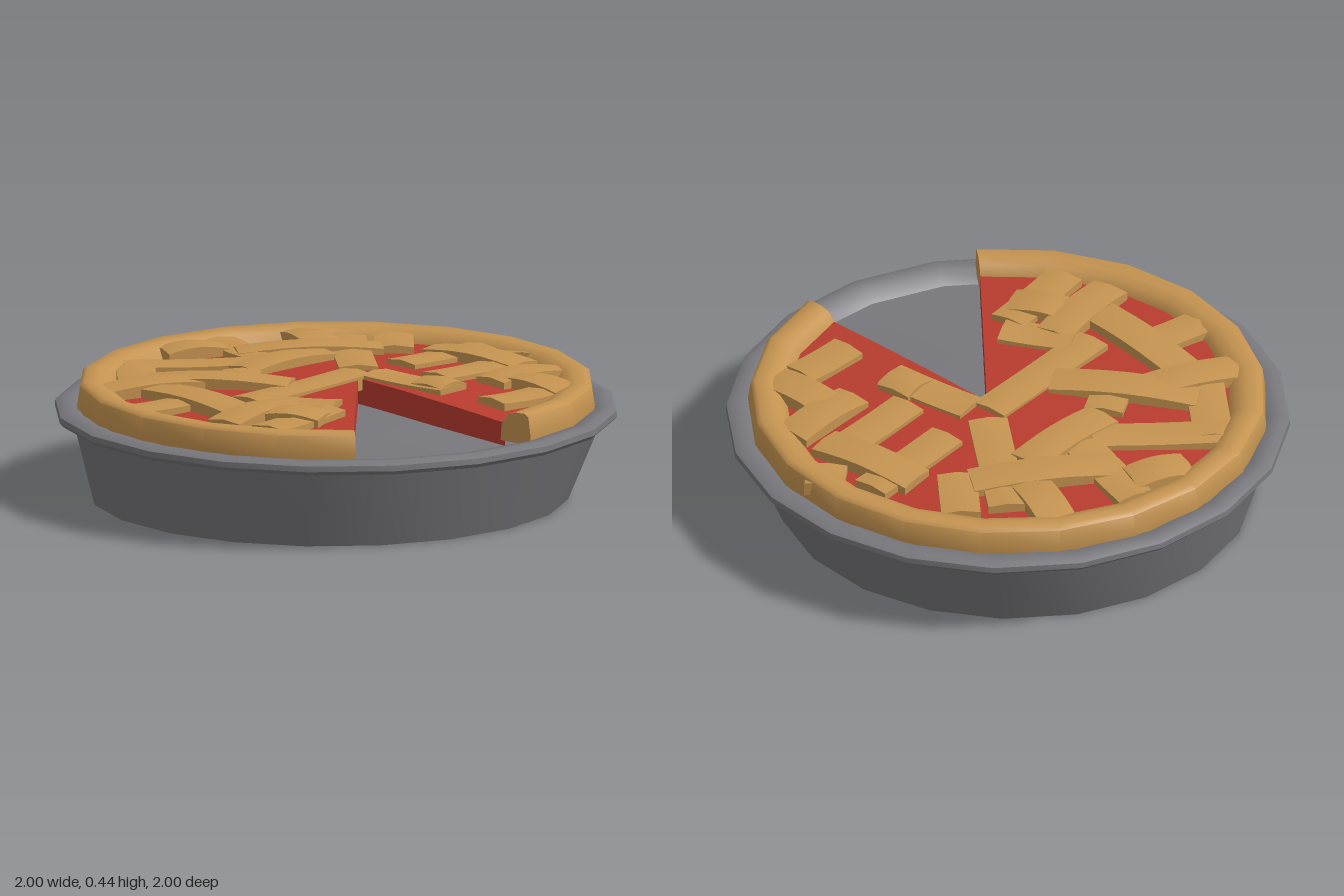
import * as THREE from 'three';
import { toCreasedNormals } from 'three/addons/utils/BufferGeometryUtils.js';

const D = Math.PI / 180;
const APEX = [0.05, -0.08];            // tip of the missing slice
const START = 72 * D, SWEEP = 316 * D; // pie covers this arc, from +z towards +x
const vec = pts => pts.map(p => new THREE.Vector2(...p));

export function createModel() {
  const group = new THREE.Group();
  const mat = (name, color, side = THREE.FrontSide) => {
    const m = new THREE.MeshStandardMaterial({ color, side });
    m.name = name;
    return m;
  };
  const tin = mat('tin grey', 0x77777c);
  const pastry = mat('baked pastry', 0xc49350, THREE.DoubleSide);
  const cherry = mat('cherry red', 0xb83c2e, THREE.DoubleSide);
  const add = (name, geo, m, parent = group) => {
    const mesh = new THREE.Mesh(geo, m);
    mesh.name = name;
    parent.add(mesh);
    return mesh;
  };

  // Pie dish: sloping wall, thick rolled rim and a high shallow inside
  const dish = new THREE.LatheGeometry(vec([
    [0, 0], [0.5, 0], [0.85, 0], [0.945, 0.285], [0.985, 0.285], [1, 0.3],
    [0.998, 0.32], [0.97, 0.333], [0.92, 0.328], [0.88, 0.29], [0.45, 0.3], [0, 0.315],
  ]), 20);
  const dp = dish.attributes.position;
  for (let i = 0; i < dp.count; i++) {
    if (dp.getY(i) < 0.01) {           // the base sits slightly off centre
      dp.setX(i, dp.getX(i) - 0.018);
      dp.setZ(i, dp.getZ(i) + 0.018);
    }
  }
  add('dish', toCreasedNormals(dish, 0.75), tin);

  // Crust ring with closed ends at the cut
  const rim = vec([[0.92, 0.31], [0.922, 0.345], [0.912, 0.41], [0.895, 0.422],
    [0.85, 0.42], [0.815, 0.408], [0.785, 0.37], [0.78, 0.31]]);
  add('crust', toCreasedNormals(new THREE.LatheGeometry(rim, 18, START, SWEEP), 0.8), pastry);
  for (const phi of [START, START + SWEEP]) {
    const end = new THREE.ShapeGeometry(new THREE.Shape(rim));
    end.rotateY(phi - Math.PI / 2);
    add('crustEnd', end, pastry);
  }

  // Domed filling, its centre moved to the tip of the slice
  const toApex = (x, z) => {
    const k = 1 - Math.min(1, Math.hypot(x, z) / 0.8);
    return [x + APEX[0] * k, z + APEX[1] * k];
  };
  const domeProfile = [[0.8, 0.375], [0.55, 0.388], [0.25, 0.4], [0, 0.405]];
  const filling = new THREE.LatheGeometry(vec(domeProfile), 20, START, SWEEP);
  const fp = filling.attributes.position;
  for (let i = 0; i < fp.count; i++) {
    const [x, z] = toApex(fp.getX(i), fp.getZ(i));
    fp.setX(i, x);
    fp.setZ(i, z);
  }
  filling.computeVertexNormals();
  add('filling', filling, cherry);

  // Cut faces on both sides of the missing slice
  for (const phi of [START, START + SWEEP]) {
    const pos = [], idx = [];
    domeProfile.forEach(([r, y], i) => {
      const [x, z] = toApex(r * Math.sin(phi), r * Math.cos(phi));
      pos.push(x, 0.28, z, x, y, z);
      if (i) idx.push(2 * i - 2, 2 * i - 1, 2 * i, 2 * i, 2 * i - 1, 2 * i + 1);
    });
    const wall = new THREE.BufferGeometry();
    wall.setAttribute('position', new THREE.Float32BufferAttribute(pos, 3));
    wall.setIndex(idx);
    wall.computeVertexNormals();
    add('cutFace', wall, cherry);
  }

  // Lattice: arched strips from [x1, z1] to [x2, z2]; alternate strips pass over and under
  const lattice = new THREE.Group();
  lattice.name = 'lattice';
  group.add(lattice);
  const strip = ([x1, z1, x2, z2], i) => {
    const len = Math.hypot(x2 - x1, z2 - z1);
    const geo = new THREE.BoxGeometry(len, 0.05, 0.14, 6, 1, 2);
    geo.rotateY(-Math.atan2(z2 - z1, x2 - x1));
    geo.translate((x1 + x2) / 2, 0, (z1 + z2) / 2);
    const p = geo.attributes.position;
    for (let k = 0; k < p.count; k++) {
      const x = p.getX(k), z = p.getZ(k);
      const t = ((x - x1) * (x2 - x1) + (z - z1) * (z2 - z1)) / (len * len);
      const side = Math.abs((x - x1) * (z2 - z1) - (z - z1) * (x2 - x1)) / len;
      const arch = 0.016 * Math.sin(Math.PI * t) * (i % 2 ? 1 : -0.3);
      const dome = 0.382 + 0.018 * (1 - x * x - z * z);
      p.setY(k, p.getY(k) + dome + arch - side * 0.12);
    }
    geo.computeVertexNormals();
    add('latticeStrip', toCreasedNormals(geo, 0.7), pastry, lattice);
  };
  // back right
  [[0.1, -0.34, 0.24, -0.74], [0.1, -0.64, 0.5, -0.52], [0.3, -0.2, 0.43, -0.56],
    [0.62, -0.52, 0.5, -0.22], [0.08, -0.15, 0.43, -0.05], [0.38, -0.15, 0.34, -0.02],
    [0.73, -0.15, 0.63, 0.07], [0.52, -0.33, 0.82, -0.2], [0.4, -0.78, 0.43, -0.66],
  ].forEach(strip);
  // back left
  [[-0.26, -0.68, 0, -0.2], [-0.52, -0.3, -0.08, -0.58], [-0.66, -0.46, -0.36, -0.22],
    [-0.22, -0.4, -0.37, -0.02], [-0.8, 0.04, -0.38, -0.16], [-0.46, -0.7, -0.26, -0.5],
    [-0.12, -0.78, -0.02, -0.56], [-0.76, -0.2, -0.6, -0.36],
  ].forEach(strip);
  // front left
  [[-0.78, 0, -0.6, 0.36], [-0.64, 0.22, -0.12, 0.12], [0.02, -0.14, -0.16, 0.42],
    [-0.56, 0.34, -0.06, 0.62], [-0.48, 0.68, -0.34, 0.46], [-0.72, 0.46, -0.42, 0.17],
    [-0.36, 0, -0.34, 0.14],
  ].forEach(strip);
  // front, beside the cut
  [[-0.1, 0.39, 0.16, 0.36], [-0.02, 0.4, -0.1, 0.76], [0.16, 0.42, 0.08, 0.78],
    [-0.04, 0.56, 0.2, 0.55],
  ].forEach(strip);

  return group;
}
